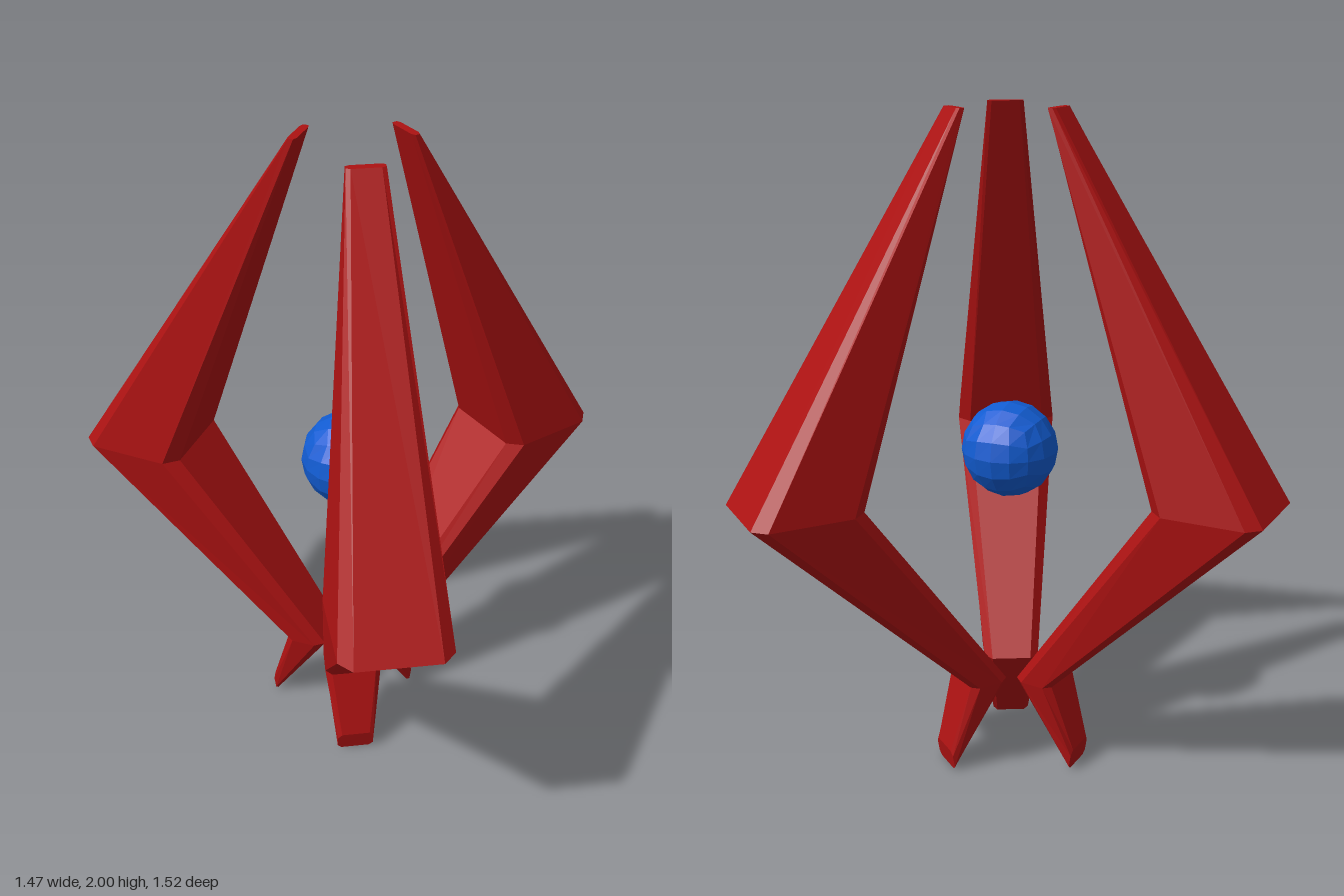
import * as THREE from 'three';

const red = new THREE.MeshStandardMaterial({ color: 0xac1212, flatShading: true });
const blue = new THREE.MeshStandardMaterial({ color: 0x125cd2, flatShading: true });

// Chamfered sections from foot to tip. Each profile point is [radius, half width, y],
// listed outer face, outer side, inner side, inner face.
const sections = [
  [[0.237, 0.045, 0.065], [0.235, 0.058, 0.05], [0.229, 0.058, 0.012], [0.227, 0.045, 0]],
  [[0.175, 0.07, 0.28], [0.153, 0.09, 0.28], [0.078, 0.085, 0.28], [0.05, 0.06, 0.28]],
  [[0.832, 0.118, 0.93], [0.794, 0.155, 0.93], [0.551, 0.158, 0.93], [0.51, 0.12, 0.93]],
  [[0.172, 0.04, 2], [0.167, 0.052, 2], [0.153, 0.052, 2], [0.148, 0.04, 2]],
];

// Mirror a section into a closed ring of eight corners
function ring([o, os, is, i]) {
  const at = ([r, w, y], s) => [r, y, s * w];
  return [at(o, -1), at(o, 1), at(os, 1), at(is, 1), at(i, 1), at(i, -1), at(is, -1), at(os, -1)];
}

function armGeometry() {
  const positions = [];
  const index = [];
  sections.forEach((s) => ring(s).forEach((p) => positions.push(...p)));
  const last = (sections.length - 1) * 8;
  for (let k = 0; k < last; k += 8) {
    for (let i = 0; i < 8; i++) {
      const j = (i + 1) % 8;
      index.push(k + i, k + 8 + i, k + 8 + j, k + i, k + 8 + j, k + j);
    }
  }
  // End caps
  for (let i = 1; i < 7; i++) {
    index.push(0, i, i + 1, last, last + i + 1, last + i);
  }
  const g = new THREE.BufferGeometry();
  g.setAttribute('position', new THREE.Float32BufferAttribute(positions, 3));
  g.setIndex(index);
  const flat = g.toNonIndexed();
  flat.computeVertexNormals();
  return flat;
}

// Cube grid pushed out to a sphere with evenly spaced facets
function orbGeometry(radius) {
  const g = new THREE.BoxGeometry(2, 2, 2, 4, 4, 4);
  const p = g.attributes.position;
  const v = new THREE.Vector3();
  for (let i = 0; i < p.count; i++) {
    v.fromBufferAttribute(p, i);
    v.set(...v.toArray().map((c) => Math.tan((c * Math.PI) / 4)));
    v.setLength(radius);
    p.setXYZ(i, v.x, v.y, v.z);
  }
  const flat = g.toNonIndexed();
  flat.computeVertexNormals();
  return flat;
}

export function createModel() {
  const model = new THREE.Group();
  model.name = 'clawStand';

  const claw = new THREE.Group();
  claw.name = 'claw';
  claw.position.set(0.104, 0, -0.045);
  model.add(claw);

  // Three bent arms around the centre, slightly unevenly spread
  const geometry = armGeometry();
  const angles = { frontArm: 65, rightArm: 185, backArm: 310 };
  for (const [name, angle] of Object.entries(angles)) {
    const arm = new THREE.Mesh(geometry, red);
    arm.name = name;
    arm.rotation.y = -THREE.MathUtils.degToRad(angle);
    claw.add(arm);
  }

  // Floating orb
  const orb = new THREE.Mesh(orbGeometry(0.144), blue);
  orb.name = 'orb';
  orb.position.y = 1.002;
  claw.add(orb);

  return model;
}
